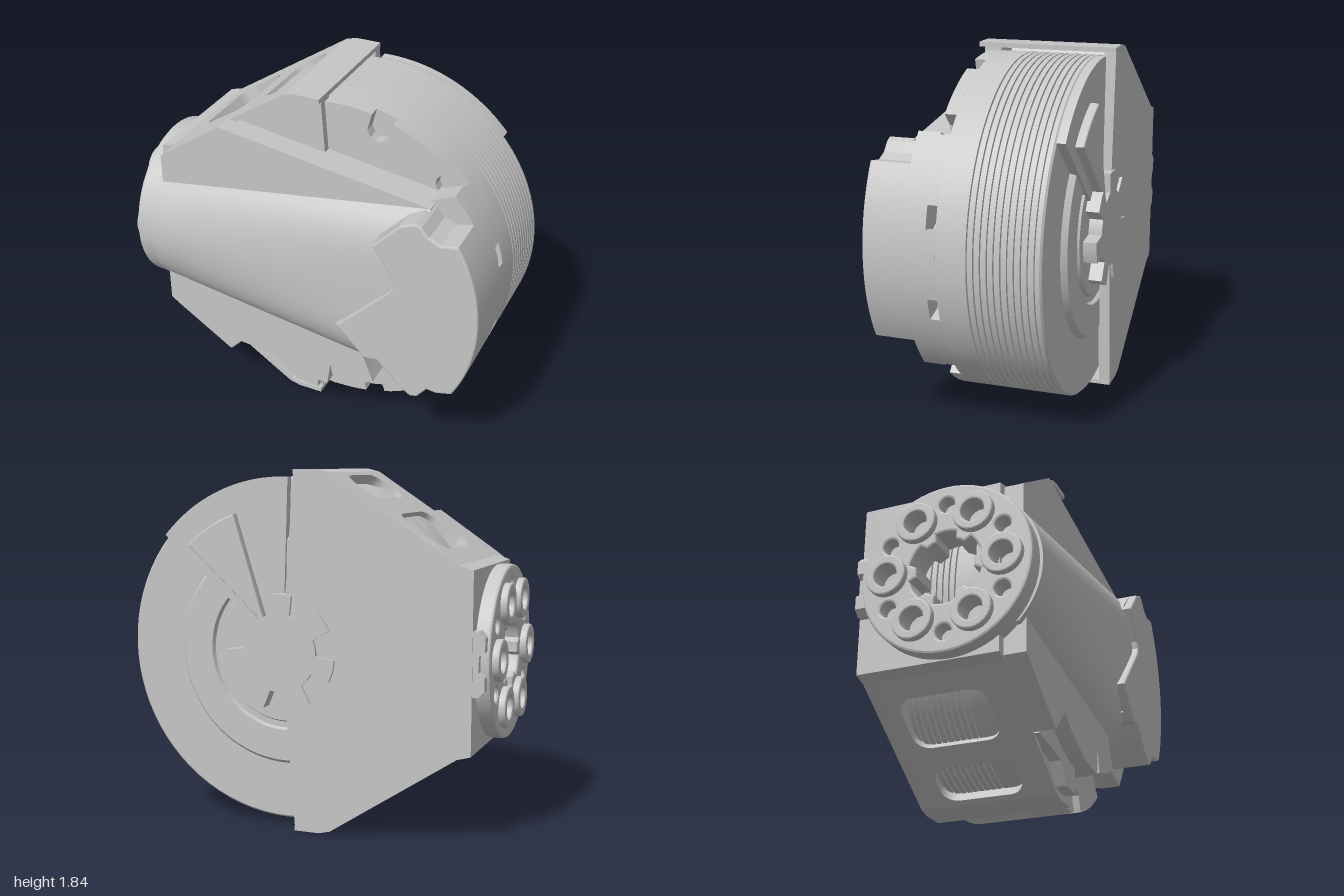
import * as THREE from 'three';
import { toCreasedNormals } from 'three/addons/utils/BufferGeometryUtils.js';

const CX = 0.11, CY = 0.92, R = 0.883;
const metal = new THREE.MeshStandardMaterial({ color: 0xc6c6c6 });
metal.name = 'light grey metal';
const rad = (d) => d * Math.PI / 180;
const V = (p) => new THREE.Vector2(p[0], p[1]);

function mesh(parent, name, geo) {
  const m = new THREE.Mesh(geo, metal);
  m.name = name;
  parent.add(m);
  return m;
}
// Points on an arc, angles in degrees
function arc(cx, cy, r, a0, a1, n = 24) {
  return Array.from({ length: n + 1 }, (_, i) => {
    const a = rad(a0 + (a1 - a0) * i / n);
    return [cx + r * Math.cos(a), cy + r * Math.sin(a)];
  });
}
// Flat outline extruded from z0 to z1, with an optional small bevel
function slab(parent, name, pts, z0, z1, bevel = 0, holes = []) {
  const shape = new THREE.Shape(pts.map(V));
  holes.forEach((h) => shape.holes.push(new THREE.Path(h.map(V))));
  const geo = new THREE.ExtrudeGeometry(shape, {
    depth: z1 - z0 - 2 * bevel, bevelEnabled: bevel > 0, bevelSize: bevel,
    bevelThickness: bevel, bevelOffset: -bevel, bevelSegments: 2,
  });
  geo.translate(0, 0, z0 + bevel);
  return mesh(parent, name, toCreasedNormals(geo, 0.32));
}
function roundedRect(x0, y0, x1, y1, r) {
  return [...arc(x1 - r, y1 - r, r, 0, 90, 6), ...arc(x0 + r, y1 - r, r, 90, 180, 6),
    ...arc(x0 + r, y0 + r, r, 180, 270, 6), ...arc(x1 - r, y0 + r, r, 270, 360, 6)];
}

function addDrum(g) {
  // Turned drum with fine grooves and a stepped back
  const p = [[0, -0.43], [0.36, -0.43], [0.37, -0.41], [0.4, -0.41], [0.41, -0.43],
    [0.57, -0.43], [0.59, -0.4], [R - 0.01, -0.4], [R, -0.39]];
  for (let z = -0.37; z < -0.01; z += 0.033) {
    p.push([R, z], [R - 0.012, z + 0.002], [R - 0.012, z + 0.006], [R, z + 0.008]);
  }
  p.push([R, 0.12], [0, 0.12]);
  const geo = new THREE.LatheGeometry(p.map(V), 80);
  geo.rotateX(Math.PI / 2);
  mesh(g, 'groovedDrum', toCreasedNormals(geo, 0.5)).position.set(CX, CY, 0);

  // Front rim with twelve U-shaped notches
  const rim = [];
  for (let k = 0; k < 12; k++) {
    const c = 15 + 30 * k, w = 3.7, a = rad(c);
    rim.push(...arc(CX, CY, R, c - 30 + w, c - w, 8));
    for (const [r, s] of [[0.79, -0.055], [0.76, -0.03], [0.75, 0], [0.76, 0.03], [0.79, 0.055]]) {
      rim.push([CX + r * Math.cos(a) - s * Math.sin(a), CY + r * Math.sin(a) + s * Math.cos(a)]);
    }
  }
  slab(g, 'notchedRim', rim, 0.12, 0.18);

  // Raised sector, blade and toothed hub on the back
  slab(g, 'backSector', [[CX, CY], ...arc(CX, CY, R, 41, 92)], -0.445, -0.4);
  slab(g, 'backBlade', [[CX + 0.08, CY + 0.14], ...arc(CX, CY, 0.74, 46, 70, 10)], -0.49, -0.44, 0.008);
  const gear = [];
  for (let k = 0; k < 7; k++) {
    const c = 41 + k * 360 / 7;
    gear.push(...arc(CX, CY, 0.2, c - 37, c - 14, 5), ...arc(CX, CY, 0.3, c - 11, c + 11, 4));
  }
  slab(g, 'toothedHub', gear, -0.5, -0.42);
}

function addBracket(g) {
  const half = [[0.03, 1.84], [-0.1, 1.84], [-0.16, 1.825], [-0.82, 1.39], [-0.89, 1.37]];
  const outline = [[0.1, CY], ...half, ...half.map(([x, y]) => [x, 1.84 - y]).reverse()];
  slab(g, 'bracketBack', outline, -0.485, -0.425);
  slab(g, 'bracketFront', outline.map(([x, y]) => [x, CY + (y - CY) * 0.985]), 0.13, 0.22);

  // Upper walls, mirrored for the lower ones
  for (const s of [1, -1]) {
    const side = new THREE.Group();
    side.name = s > 0 ? 'upperWall' : 'lowerWall';
    side.scale.y = s;
    side.position.y = s > 0 ? 0 : 1.84;
    g.add(side);
    slab(side, 'wallEnd', [[0.035, 1.84], [-0.1, 1.84], [-0.16, 1.825], [-0.15, 1.805], [-0.1, 1.815], [0.035, 1.815]], -0.485, 0.25);
    slab(side, 'wallCorner', [[-0.82, 1.39], [-0.89, 1.37], [-0.89, 1.34], [-0.81, 1.365]], -0.485, 0.25);
    // Thin sloped skin over a thick body, both pierced by the windows
    const dx = 0.66, dy = 0.435, L = Math.hypot(dx, dy);
    const windows = [roundedRect(0.12, -0.36, 0.42, 0.1, 0.08), roundedRect(0.55, -0.34, 0.76, 0.1, 0.08)];
    const slope = new THREE.Matrix4().makeBasis(
      new THREE.Vector3(dx / L, dy / L, 0), new THREE.Vector3(0, 0, 1),
      new THREE.Vector3(dy / L, -dx / L, 0)).setPosition(-0.82, 1.39, 0);
    for (const [name, z0, z1, d0, d1] of [['windowSkin', -0.485, 0.25, 0, 0.025], ['windowBody', -0.45, 0.17, 0.025, 0.16]]) {
      slab(side, name, [[0, z0], [L, z0], [L, z1], [0, z1]], d0, d1, 0, windows).applyMatrix4(slope);
    }
  }
  // Toothed tab at the rear edge
  slab(g, 'rearTab', [[-0.87, 0.76], [-0.92, 0.76], [-0.95, 0.79], [-0.95, 0.86], [-0.92, 0.88],
    [-0.92, 0.96], [-0.95, 0.98], [-0.95, 1.05], [-0.92, 1.08], [-0.87, 1.08]], -0.48, -0.39);
}

function addFlange(g) {
  // Built along local z, which points to the model's right
  const f = new THREE.Group();
  f.name = 'mountingFlange';
  f.rotation.y = -Math.PI / 2;
  f.position.y = CY;
  g.add(f);
  const socket = [];
  for (let k = 0; k < 6; k++) {
    socket.push(...arc(0, 0, 0.19, k * 60 + 14, k * 60 + 46, 4), ...arc(0, 0, 0.15, k * 60 + 50, k * 60 + 70, 3));
  }
  slab(f, 'endWall', [[-0.485, -0.45], [0.25, -0.45], [0.25, 0.45], [-0.485, 0.45]], 0.84, 0.89, 0, [socket]);
  const holes = [socket];
  for (let k = 0; k < 6; k++) {
    const a = k * 60, b = rad(a + 30);
    const c = [0.3 * Math.cos(rad(a)), 0.3 * Math.sin(rad(a))];
    holes.push(arc(...c, 0.06, 0, 345, 23));
    holes.push(arc(0.34 * Math.cos(b), 0.34 * Math.sin(b), 0.04, 0, 345, 23));
    slab(f, 'boltSleeve', arc(...c, 0.105, 0, 345, 23), 0.95, 1.0, 0.008, [arc(...c, 0.06, 0, 345, 23)]);
  }
  slab(f, 'flangeDisc', arc(0, 0, 0.445, 0, 354, 59), 0.8, 0.965, 0.012, holes);
}

function addArm(g) {
  // Loft from a round root at the flange to a broad flat tip
  const N = 24, M = 12, pos = [], idx = [];
  for (let i = 0; i <= M; i++) {
    const t = i / M;
    const row = [];
    for (let j = 0; j <= N; j++) {
      const s = 1 - 2 * j / N, a = rad(43 * s);
      const root = [-0.87, CY + 0.445 * Math.sin(a), 0.46 * Math.cos(a)];
      const tip = [0.515 + 0.155 * s, 0.95 + 0.5 * s, 0.35 + 0.11 * (1 - Math.abs(s) ** 5)];
      row.push(root.map((v, k) => v + (tip[k] - v) * t));
    }
    const first = row[0], last = row[N];
    row.unshift([first[0], first[1], 0.15]);
    row.push([last[0], last[1], 0.15]);
    row.forEach((p) => pos.push(...p));
  }
  const W = N + 3;
  for (let i = 0; i < M; i++) {
    for (let j = 0; j < W - 1; j++) {
      const a = i * W + j, b = a + W;
      idx.push(a, a + 1, b, b, a + 1, b + 1);
    }
  }
  for (let j = 1; j < W - 1; j++) idx.push(0, j + 1, j, M * W, M * W + j, M * W + j + 1);
  const geo = new THREE.BufferGeometry();
  geo.setAttribute('position', new THREE.Float32BufferAttribute(pos, 3));
  geo.setIndex(idx);
  mesh(g, 'taperedArm', toCreasedNormals(geo, 0.6));

  // Plates beside the arm
  slab(g, 'upperPlate', [[-0.48, 1.62], [0.67, 1.45], [0.3, 1.2], [-0.84, 1.1], [-0.84, 1.37], [-0.8, 1.4]], 0.18, 0.35);
  slab(g, 'lowerPlate', [[-0.84, 0.47], [-0.8, 0.44], [-0.47, 0.225], [-0.34, 0.36], [-0.26, 0.3], [-0.16, 0.25],
    [-0.05, 0.21], [0.05, 0.195], [0.13, 0.19], [0.15, 0.33], [0.17, 0.21], [0.28, 0.24], [0.4, 0.3],
    [0.34, 0.45], [0.3, 0.6], [-0.84, 0.75]], 0.17, 0.365);
  slab(g, 'lowerLug', [[-0.47, 0.22], [-0.34, 0.36], [0.03, 0.22], [0.03, 0.06], [-0.1, 0.07],
    [-0.17, 0.18], [-0.3, 0.2]], 0.2, 0.28);
}

function addBoss(g) {
  // Stepped boss at the outer side, sharing the drum's curve
  slab(g, 'bossBase', [[0.3, 1.3], [0.3, 0.55], [0.4, 0.45], ...arc(CX, CY, R, -42, 42)], 0.17, 0.285);
  const edge = [[0.72, 1.385], [0.68, 1.43], [0.65, 1.445], [0.57, 1.41]];
  const lowEdge = [[0.47, 0.57], [0.6, 0.44], [0.66, 0.4], [0.7, 0.41], [0.75, 0.475], [0.8, 0.47]];
  const curve = arc(CX, CY, R, -29, 31);
  slab(g, 'bossBody', [...curve, [0.78, 1.36], ...edge, [0.45, 1.3], [0.35, 0.6], ...lowEdge], 0.27, 0.45);
  slab(g, 'bossCap', [...curve, [0.78, 1.36], ...edge, [0.43, 1.26], [0.54, 1.1], [0.55, 1.06], [0.53, 1.02],
    [0.24, 0.72], [0.4, 0.56], [0.44, 0.56], ...lowEdge], 0.42, 0.495, 0.01);
}

export function createModel() {
  const g = new THREE.Group();
  g.name = 'drumHousing';
  addDrum(g);
  addBracket(g);
  addFlange(g);
  addArm(g);
  addBoss(g);
  return g;
}
